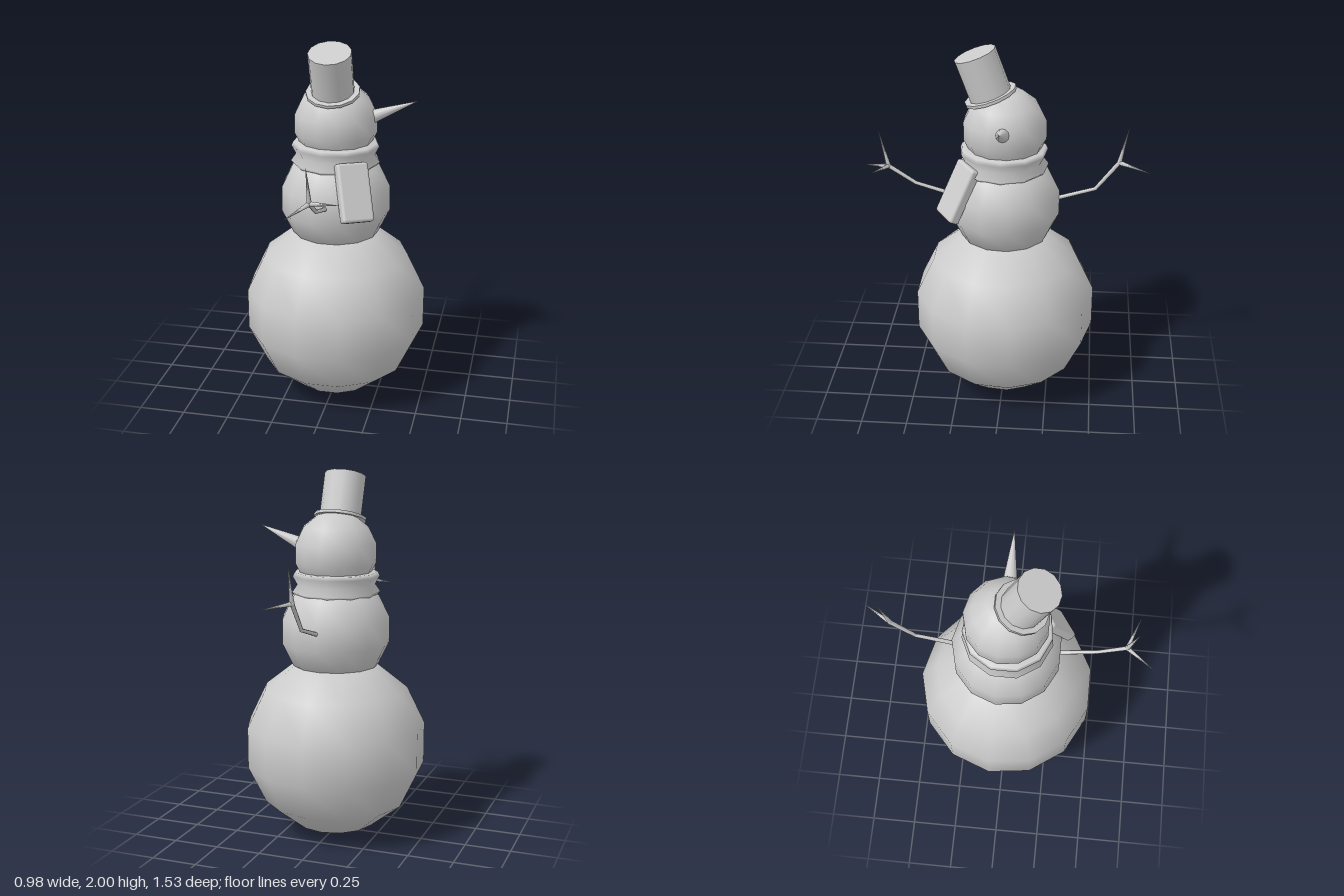
import * as THREE from 'three';
import { RoundedBoxGeometry } from 'three/addons/geometries/RoundedBoxGeometry.js';

const V = (x, y, z) => new THREE.Vector3(x, y, z);
const UP = V(0, 1, 0);

export function createModel() {
  const model = new THREE.Group();
  const material = new THREE.MeshStandardMaterial({ color: 0xcccccc });

  const add = (name, geometry, parent = model) => {
    const mesh = new THREE.Mesh(geometry, material);
    mesh.name = name;
    parent.add(mesh);
    return mesh;
  };

  // Tapered round stick between two points
  const stick = (name, a, b, r0, r1, sides, parent) => {
    const geometry = new THREE.CylinderGeometry(r1, r0, a.distanceTo(b), sides);
    const mesh = add(name, geometry, parent);
    mesh.position.copy(a).lerp(b, 0.5);
    mesh.quaternion.setFromUnitVectors(UP, b.clone().sub(a).normalize());
    return mesh;
  };

  // Three stacked snowballs
  for (const [name, radius, y] of [
    ['lowerBody', 0.505, 0.505],
    ['upperBody', 0.301, 1.143],
    ['head', 0.225, 1.56],
  ]) {
    const ball = add(name, new THREE.SphereGeometry(radius, 13, 7).rotateY(-Math.PI / 2));
    ball.position.set(0, y, -0.006);
  }

  // Pointed nose on the +x side of the head
  stick('nose', V(0.19, 1.598, -0.009), V(0.43, 1.695, -0.009), 0.038, 0.001, 12);

  // Scarf wrap with a pinched middle
  const wrap = [
    [0.17, 1.335], [0.222, 1.337], [0.24, 1.355], [0.212, 1.395],
    [0.236, 1.44], [0.226, 1.46], [0.17, 1.465],
  ].map(([r, y]) => new THREE.Vector2(r, y));
  add('scarfWrap', new THREE.LatheGeometry(wrap, 11).rotateY(Math.PI / 2));

  // Hanging scarf end, leaning away from the body
  const tailTurn = new THREE.Group();
  tailTurn.name = 'scarfEnd';
  tailTurn.rotation.y = Math.atan2(0.57, 0.82);
  model.add(tailTurn);
  const tail = add('scarfTail', new RoundedBoxGeometry(0.175, 0.31, 0.06, 2, 0.016), tailTurn);
  tail.position.set(-0.012, 1.255, 0.272);
  tail.rotation.set(-0.45, 0, -0.06);

  // Top hat tipped towards +z
  const hat = new THREE.Group();
  hat.name = 'hat';
  hat.position.set(0, 1.742, 0.068);
  hat.rotation.x = 0.35;
  model.add(hat);
  add('hatBrim', new THREE.CylinderGeometry(0.142, 0.142, 0.016, 13), hat);
  add('hatCrown', new THREE.CylinderGeometry(0.113, 0.113, 0.235, 13), hat).position.y = 0.1175;

  // Twig arms: shoulder, elbow, wrist and finger tips
  const arms = [
    {
      name: 'frontArm',
      joints: [V(0, 1.165, 0.26), V(0, 1.23, 0.475), V(0, 1.325, 0.62)],
      tips: [V(-0.005, 1.52, 0.665), V(-0.09, 1.288, 0.76), V(0.155, 1.35, 0.68)],
    },
    {
      name: 'backArm',
      joints: [V(0, 1.16, -0.26), V(0, 1.23, -0.49), V(0, 1.385, -0.61)],
      tips: [V(0, 1.575, -0.653), V(0.098, 1.372, -0.765)],
    },
  ];
  for (const { name, joints: [shoulder, elbow, wrist], tips } of arms) {
    const arm = new THREE.Group();
    arm.name = name;
    model.add(arm);
    stick('upperTwig', shoulder, elbow, 0.012, 0.01, 7, arm);
    stick('lowerTwig', elbow, wrist, 0.01, 0.012, 7, arm);
    add('elbowKnot', new THREE.SphereGeometry(0.0105, 7, 5), arm).position.copy(elbow);
    add('wristKnot', new THREE.SphereGeometry(0.014, 7, 5), arm).position.copy(wrist);
    for (const tip of tips) stick('finger', wrist, tip, 0.013, 0.001, 6, arm);
  }

  return model;
}
